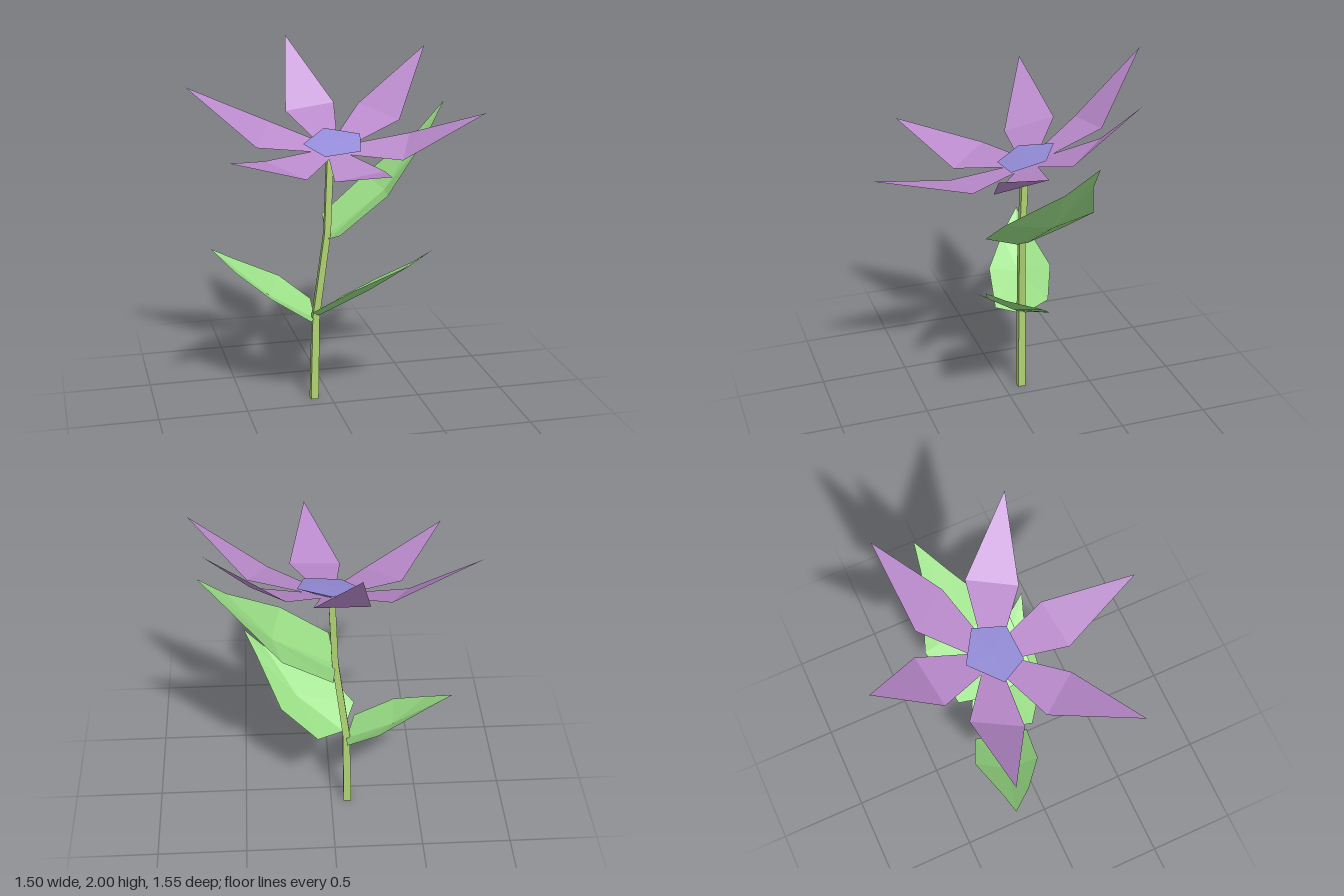
import * as THREE from 'three';

const mat = (name, color) => new THREE.MeshStandardMaterial({ name, color, side: THREE.DoubleSide });
const V = (p) => new THREE.Vector3(...p);

// Flat-shaded geometry from a list of triangles (Vector3 triples)
function facets(tris) {
  const g = new THREE.BufferGeometry().setFromPoints(tris.flat());
  g.computeVertexNormals();
  return g;
}

// Triangles from a centre point to each edge of a closed outline
const fan = (c, ring) => ring.map((p, i) => [c, p, ring[(i + 1) % ring.length]]);

export function createModel() {
  const group = new THREE.Group();
  const petalMat = mat('petal purple', 0xb98acb);
  const centreMat = mat('centre blue', 0x948cd8);
  const leafMat = mat('leaf green', 0x9ade86);
  const stemMat = mat('stem green', 0xb0d474);
  const add = (name, geometry, material) => {
    const mesh = new THREE.Mesh(geometry, material);
    mesh.name = name;
    group.add(mesh);
  };

  // Stem: square section, bent along a few stations
  const path = [
    [-0.095, 0, -0.1, 0.022], [-0.085, 0.5, -0.098, 0.02], [-0.065, 0.66, -0.09, 0.019],
    [-0.022, 1.0, -0.077, 0.018], [-0.006, 1.38, -0.085, 0.018], [0.005, 1.48, -0.095, 0.018],
  ];
  const stem = new THREE.BoxGeometry(2, 1, 2, 1, path.length - 1, 1);
  const pos = stem.attributes.position;
  for (let i = 0; i < pos.count; i++) {
    const [x, y, z, r] = path[Math.round((pos.getY(i) + 0.5) * (path.length - 1))];
    pos.setXYZ(i, x + pos.getX(i) * r, y, z + pos.getZ(i) * r);
  }
  const flatStem = stem.toNonIndexed();
  flatStem.computeVertexNormals();
  add('stem', flatStem, stemMat);

  // Leaves: cupped outlines around a sunken midrib point
  const leaves = {
    upperLeaf: {
      rib: [0.32, 1.21, -0.13],
      ring: [[-0.02, 0.967, -0.05], [0, 1.04, 0.14], [0.27, 1.24, 0.12], [0.55, 1.5, -0.11],
        [0.69, 1.68, -0.235], [0.555, 1.52, -0.255], [0.27, 1.24, -0.38], [0, 1.04, -0.31], [-0.02, 0.967, -0.11]],
    },
    frontLeaf: {
      rib: [0.19, 0.68, 0.04],
      ring: [[-0.07, 0.508, -0.085], [-0.14, 0.587, 0.075], [0.04, 0.74, 0.22], [0.365, 0.88, 0.252],
        [0.48, 0.975, 0.29], [0.405, 0.87, 0.16], [0.28, 0.7, -0.105], [0.08, 0.56, -0.21]],
    },
    backLeaf: {
      rib: [-0.34, 0.625, -0.17],
      ring: [[-0.085, 0.48, -0.115], [-0.14, 0.52, 0.04], [-0.36, 0.66, 0.005], [-0.53, 0.78, -0.13],
        [-0.65, 0.89, -0.262], [-0.52, 0.82, -0.28], [-0.25, 0.68, -0.335], [-0.08, 0.55, -0.26]],
    },
  };
  for (const [name, { rib, ring }] of Object.entries(leaves)) {
    add(name, facets(fan(V(rib), ring.map(V).reverse())), leafMat);
  }

  // Petals: [tip, side, side], narrowing to a short edge under the centre
  const heart = V([0.015, 1.46, -0.1]);
  const petals = [
    [[-0.11, 2, -0.78], [-0.18, 1.62, -0.44], [0.11, 1.65, -0.48]],
    [[0.64, 1.96, -0.465], [0.24, 1.65, -0.42], [0.42, 1.59, -0.195]],
    [[0.75, 1.713, 0.31], [0.44, 1.545, -0.06], [0.33, 1.455, 0.2]],
    [[0.11, 1.517, 0.77], [0.21, 1.42, 0.275], [-0.07, 1.387, 0.31]],
    [[-0.64, 1.553, 0.46], [-0.205, 1.392, 0.255], [-0.385, 1.45, 0.03]],
    [[-0.755, 1.8, -0.315], [-0.405, 1.492, -0.105], [-0.295, 1.585, -0.36]],
  ];
  petals.forEach((points, i) => {
    const [tip, a, b] = points.map(V);
    const across = a.clone().sub(b).multiplyScalar(0.11);
    const a0 = heart.clone().add(across);
    const b0 = heart.clone().sub(across);
    add(`petal${i + 1}`, facets([[tip, a, b], [a, a0, b0], [a, b0, b]].map((t) => t.reverse())), petalMat);
  });

  // Flower centre: tilted five-sided cap tapering to the stem
  const rim = [[0, 1.553, -0.25], [0.18, 1.535, -0.14], [0.14, 1.478, 0.04],
    [-0.06, 1.46, 0.05], [-0.15, 1.502, -0.1]].map(V);
  const top = V([0.02, 1.512, -0.09]);
  const under = V([0.01, 1.44, -0.095]);
  add('flowerCentre', facets([...fan(top, [...rim].reverse()), ...fan(under, rim)]), centreMat);

  return group;
}
